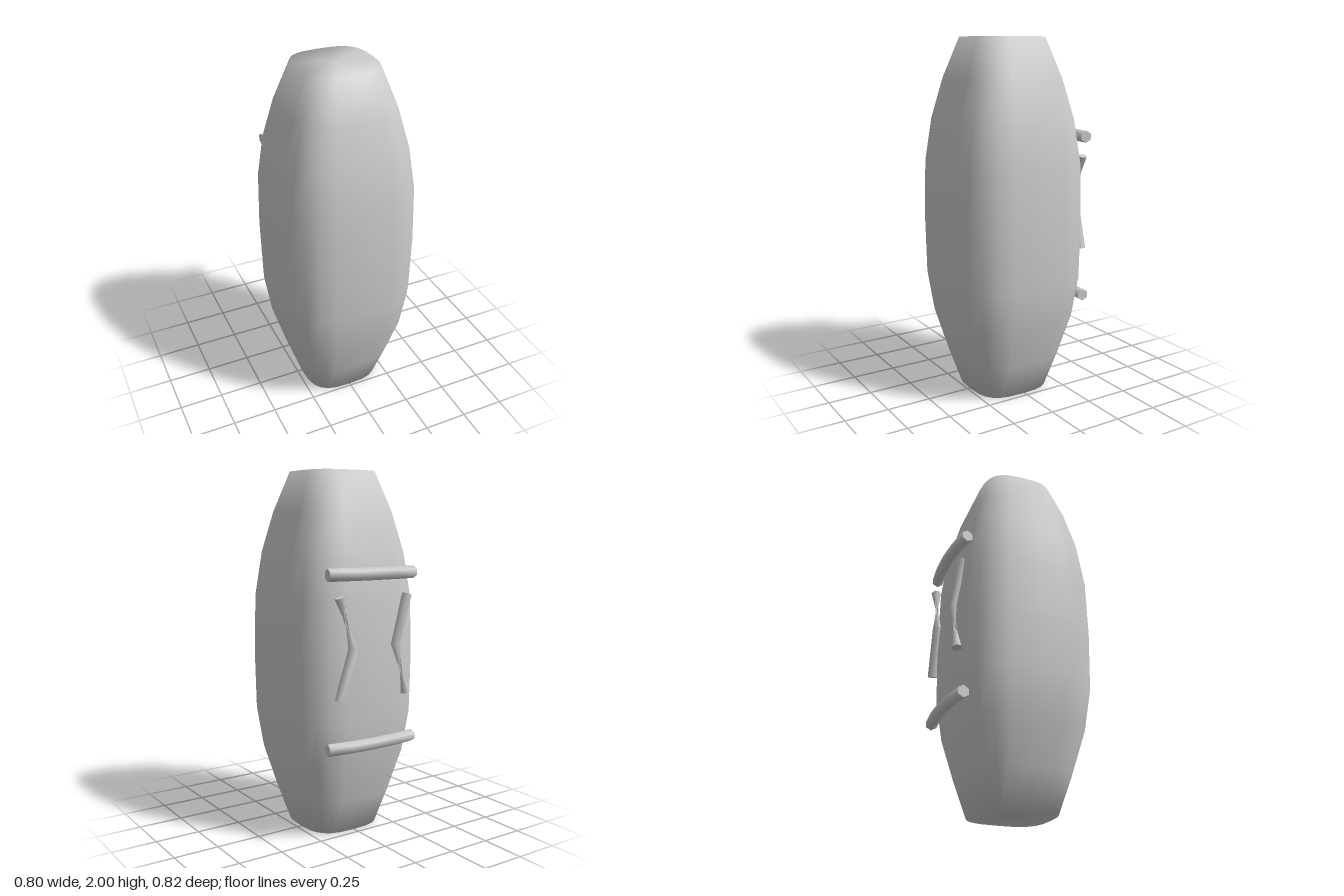
import * as THREE from 'three';
import { toCreasedNormals } from 'three/addons/utils/BufferGeometryUtils.js';

const material = new THREE.MeshStandardMaterial({ color: 0xcccccc });

// Skins a list of equal-length rings (counter-clockwise about the direction of travel) and closes both ends.
function loft(rings) {
  const n = rings[0].length;
  const points = rings.flat();
  const index = [];
  for (let r = 0; r < rings.length - 1; r++) {
    for (let i = 0; i < n; i++) {
      const a = r * n + i, b = r * n + (i + 1) % n;
      index.push(a, b, b + n, a, b + n, a + n);
    }
  }
  const addCap = (ring, start, flip) => {
    const centre = points.length;
    points.push(ring.reduce((s, p) => s.add(p), new THREE.Vector3()).divideScalar(n));
    for (let i = 0; i < n; i++) {
      const a = start + i, b = start + (i + 1) % n;
      index.push(centre, flip ? b : a, flip ? a : b);
    }
  };
  addCap(rings[0], 0, true);
  addCap(rings[rings.length - 1], (rings.length - 1) * n, false);
  const geometry = new THREE.BufferGeometry().setFromPoints(points);
  geometry.setIndex(index);
  geometry.computeVertexNormals();
  return geometry;
}

// Rounded-square ring of the body at one height.
function bodyRing(y, half, zShift) {
  const ring = [];
  const power = (v) => Math.sign(v) * Math.abs(v) ** (2 / 3.1);
  for (let i = 0; i < 24; i++) {
    const a = (i / 24) * Math.PI * 2;
    ring.push(new THREE.Vector3(half * power(Math.cos(a)), y, zShift - half * power(Math.sin(a))));
  }
  return ring;
}

// Hexagonal rod along a few points; each point may add a twist to its ring.
function rod(points, radius, twists = []) {
  const path = points.map((p) => new THREE.Vector3(...p));
  const rings = path.map((p, i) => {
    const ahead = path[Math.min(i + 1, path.length - 1)];
    const behind = path[Math.max(i - 1, 0)];
    const t = ahead.clone().sub(behind).normalize();
    const u = new THREE.Vector3(0, 0, 1).cross(t).normalize();
    const v = t.clone().cross(u);
    return Array.from({ length: 6 }, (_, k) => {
      const a = (k / 6) * Math.PI * 2 + (twists[i] || 0);
      return p.clone().addScaledVector(u, radius * Math.cos(a)).addScaledVector(v, radius * Math.sin(a));
    });
  });
  return toCreasedNormals(loft(rings), 1.2);
}

export function createModel() {
  const group = new THREE.Group();
  const add = (name, geometry) => {
    const mesh = new THREE.Mesh(geometry, material);
    mesh.name = name;
    group.add(mesh);
  };

  // Barrel-shaped body, softly shaded over its flat ends
  const profile = [
    [0, 0.222], [0.2, 0.288], [0.44, 0.358], [0.67, 0.392], [1, 0.398],
    [1.32, 0.39], [1.56, 0.355], [1.78, 0.295], [2, 0.21],
  ];
  add('body', loft(profile.map(([y, half]) => bodyRing(y, half, 0.013))));

  // Bowed cross bars on the back
  for (const [name, y] of [['upperBar', 1.46], ['lowerBar', 0.545]]) {
    const path = [-0.28, -0.14, 0, 0.14, 0.28].map((x) => [x, y, -0.384 + 0.3 * x * x]);
    add(name, rod(path, 0.034));
  }

  // Bent strips between the bars, each with one pinched half; one is the other turned upside down
  for (const [name, s] of [['leftStrip', 1], ['rightStrip', -1]]) {
    const at = (x, dy, z) => [s * x, 1.075 + s * dy, z];
    const path = [at(0.22, -0.27, -0.383), at(0.14, 0, -0.388), at(0.22, 0.27, -0.383)];
    const twists = [0, 0, Math.PI * 0.8];
    add(name, rod(path, 0.028, twists));
  }

  return group;
}
